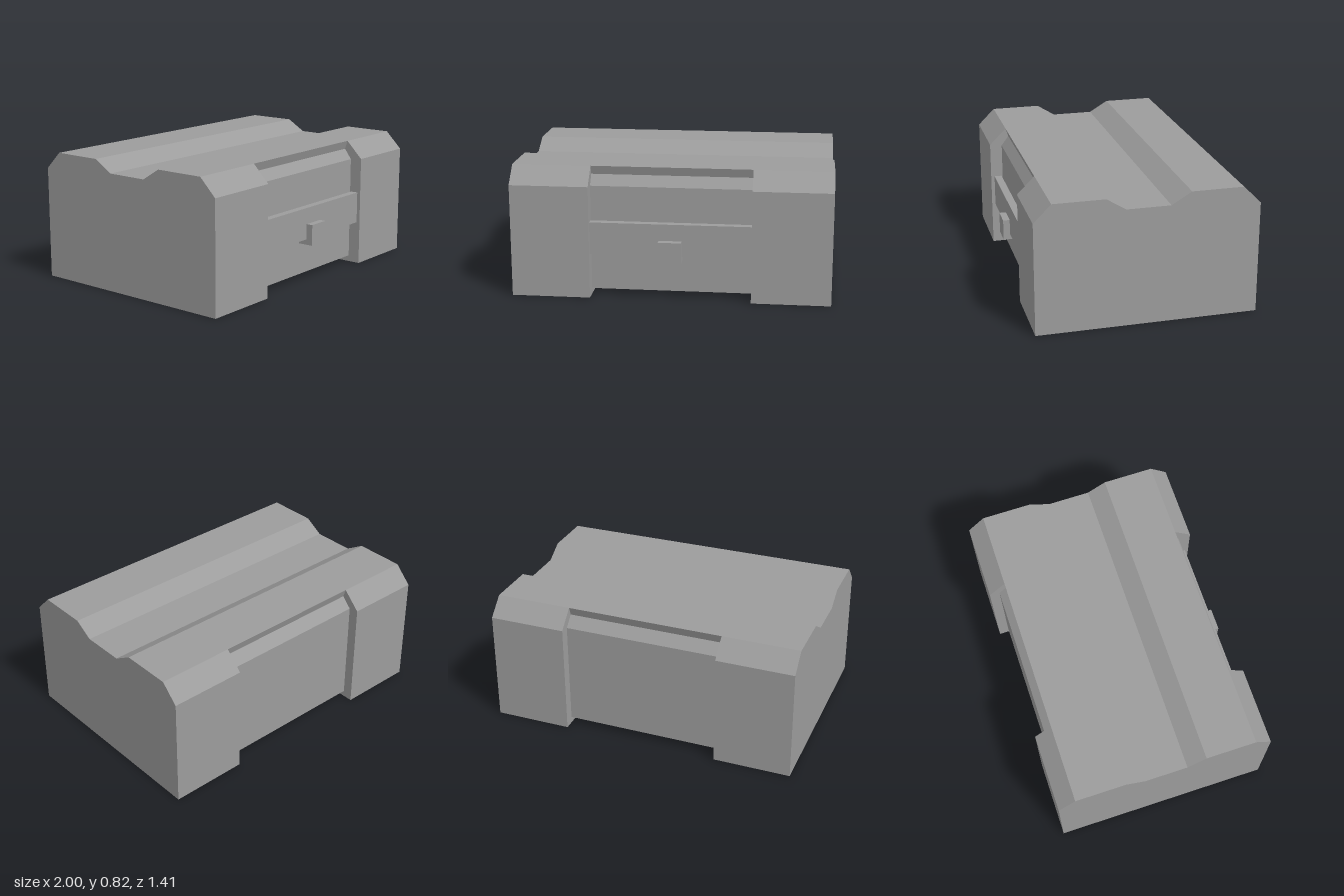
import * as THREE from 'three';

const material = new THREE.MeshStandardMaterial({ color: 0x9c9c9c, flatShading: true });

// Extrude a side profile of [z, y] points across x0..x1
function slab(name, profile, x0, x1) {
  const shape = new THREE.Shape(profile.map(([z, y]) => new THREE.Vector2(-z, y)));
  const geometry = new THREE.ExtrudeGeometry(shape, { depth: x1 - x0, bevelEnabled: false });
  geometry.rotateY(Math.PI / 2); // profile x -> -z, depth -> +x
  geometry.translate(x0, 0, 0);
  const mesh = new THREE.Mesh(geometry, material);
  mesh.name = name;
  return mesh;
}

function box(name, x0, x1, y0, y1, z0, z1) {
  const mesh = new THREE.Mesh(new THREE.BoxGeometry(x1 - x0, y1 - y0, z1 - z0), material);
  mesh.position.set((x0 + x1) / 2, (y0 + y1) / 2, (z0 + z1) / 2);
  mesh.name = name;
  return mesh;
}

export function createModel() {
  const group = new THREE.Group();
  group.name = 'chest';
  const inner = 0.505;

  // Shallow trough running along the whole top
  const trough = [[0.25, 0.825], [0.13, 0.75], [-0.145, 0.75], [-0.27, 0.825]];

  // Chamfered end blocks
  const endProfile = [
    [0.685, 0], [0.685, 0.715], [0.575, 0.825],
    ...trough,
    [-0.595, 0.825], [-0.705, 0.715], [-0.705, 0],
  ];
  group.add(slab('leftEndBlock', endProfile, inner, 1));
  group.add(slab('rightEndBlock', endProfile, -1, -inner));

  // Recessed middle: undercut base, bevelled panels, slightly overhanging lid edges
  const middleProfile = [
    [0.5, 0], [0.5, 0.04], [0.605, 0.04], [0.605, 0.705], [0.557, 0.77], [0.575, 0.825],
    ...trough,
    [-0.595, 0.825], [-0.577, 0.77], [-0.64, 0.705], [-0.64, 0.04], [-0.51, 0.04], [-0.51, 0],
  ];
  group.add(slab('middleBody', middleProfile, -inner, inner));

  // Front band standing just clear of the panel, with the latch passing through it
  group.add(box('frontBand', -inner, inner, 0.28, 0.485, 0.613, 0.662));
  group.add(box('latch', -0.072, 0.072, 0.245, 0.38, 0.6, 0.705));
  return group;
}
